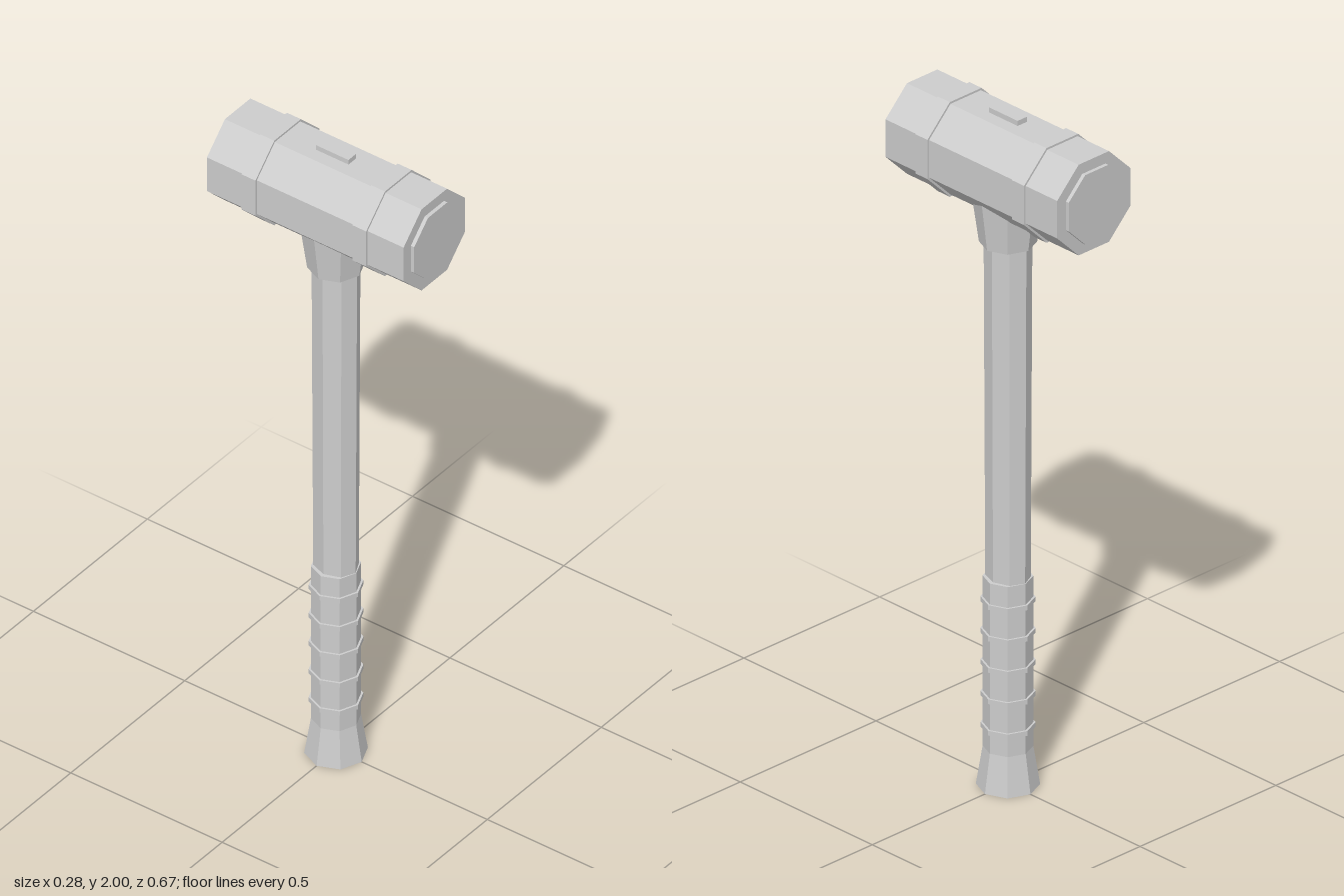
import * as THREE from 'three';

export function createModel() {
  const group = new THREE.Group();
  const steel = new THREE.MeshStandardMaterial({ color: 0xcccccc, flatShading: true });
  steel.name = 'pale grey';

  const add = (name, geometry, y, z = 0) => {
    const mesh = new THREE.Mesh(geometry, steel);
    mesh.name = name;
    mesh.position.set(0, y, z);
    group.add(mesh);
    return mesh;
  };

  // Upright octagonal section with a corner facing front, from y0 to y1
  const shaft = (name, r0, r1, y0, y1) =>
    add(name, new THREE.CylinderGeometry(r1, r0, y1 - y0, 8), (y0 + y1) / 2);

  // Octagonal prism along z with flat sides up, from z0 to z1
  const headY = 1.85;
  const prism = (name, apothem, z0, z1) => {
    const r = apothem / Math.cos(Math.PI / 8);
    const g = new THREE.CylinderGeometry(r, r, z1 - z0, 8, 1, false, Math.PI / 8);
    g.rotateX(Math.PI / 2);
    return add(name, g, headY, (z0 + z1) / 2);
  };

  // Handle, slightly flattened sideways
  shaft('handle', 0.065, 0.07, 0.6, 1.7).scale.x = 0.85;

  // Grip with raised rings and flared pommel
  shaft('grip', 0.067, 0.067, 0.08, 0.62);
  for (let i = 0; i < 5; i++) {
    const y = 0.177 + i * 0.0935;
    shaft('gripRing', 0.073, 0.073, y - 0.007, y + 0.007);
  }
  shaft('pommel', 0.085, 0.066, 0, 0.12);

  // Collar widening into the underside of the head
  shaft('collar', 0.077, 0.099, 1.615, 1.775);

  // Head with raised bands and striking faces
  prism('head', 0.135, -0.325, 0.325);
  for (const s of [-1, 1]) {
    const pair = (a, b) => [s * a, s * b].sort((p, q) => p - q);
    prism('headBand', 0.141, ...pair(0.16, 0.206));
    prism('strikingFace', 0.103, ...pair(0.32, 0.336));
  }

  // Wedge end showing through the top of the head
  add('wedge', new THREE.BoxGeometry(0.034, 0.04, 0.108), 1.98);

  return group;
}
